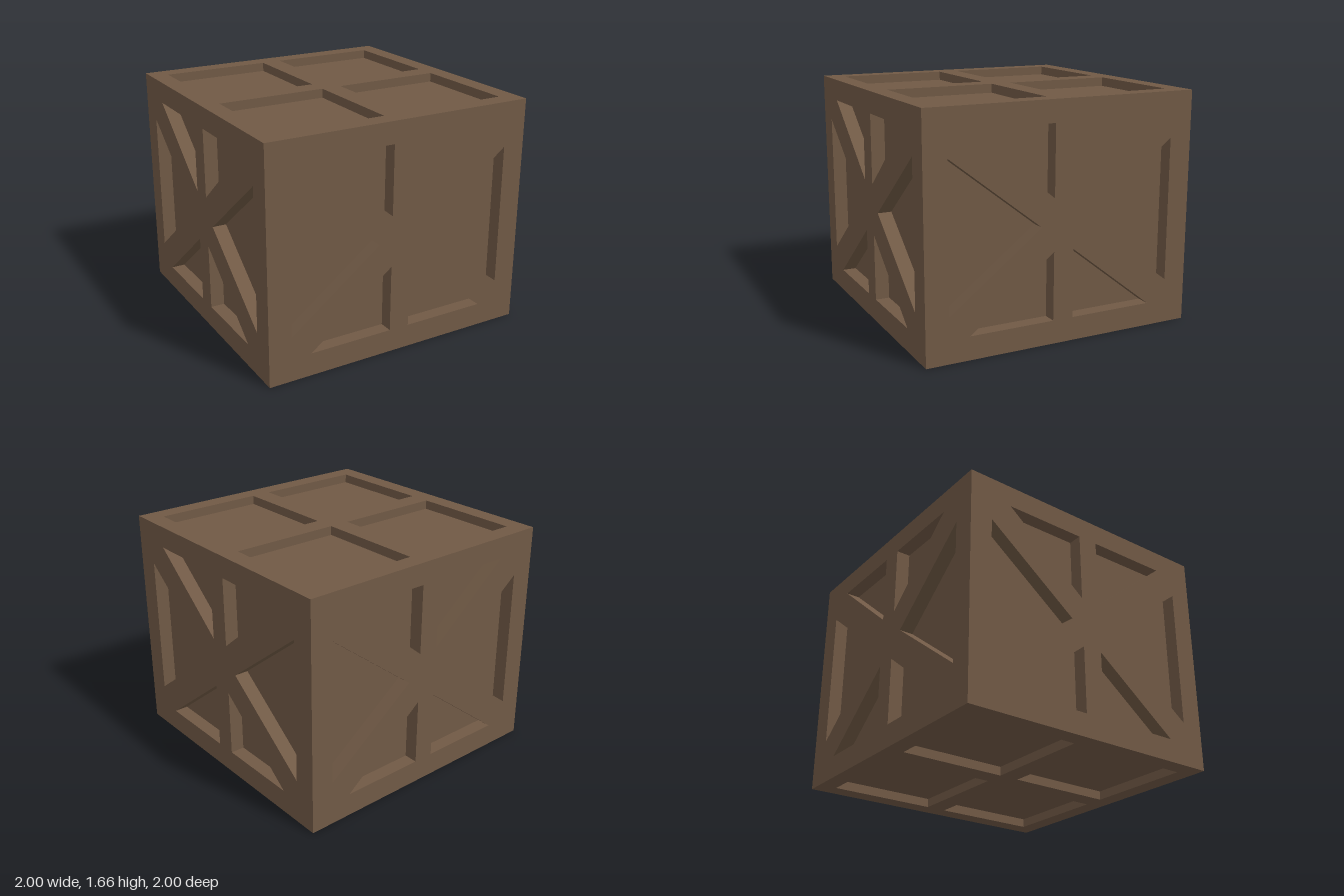
import * as THREE from 'three';

const W = 2, H = 1.66;      // outer size
const SIDE = 0.1;           // depth of the side recesses
const CAP = 0.065;          // depth of the top and bottom recesses

function outline(points, Type = THREE.Shape) {
  return new Type(points.map(([x, y]) => new THREE.Vector2(x, y)));
}

// flat frame of given size with cut-out openings, extruded towards +z
function frameGeometry(width, height, y0, openings, depth) {
  const w = width / 2;
  const shape = outline([[-w, y0], [w, y0], [w, y0 + height], [-w, y0 + height]]);
  for (const o of openings) shape.holes.push(outline(o, THREE.Path));
  return new THREE.ExtrudeGeometry(shape, { depth, bevelEnabled: false });
}

export function createModel() {
  const wood = new THREE.MeshStandardMaterial({ color: 0x705945 });
  wood.name = 'brown wood';
  const crate = new THREE.Group();
  crate.name = 'crate';

  const add = (name, geometry) => {
    const mesh = new THREE.Mesh(geometry, wood);
    mesh.name = name;
    crate.add(mesh);
    return mesh;
  };

  // recessed panels: the faces of one inner box
  add('innerPanels', new THREE.BoxGeometry(W - 2 * SIDE, H - 2 * CAP, W - 2 * SIDE))
    .position.y = H / 2;

  // six triangular openings between rails, centre post and crossed braces
  const sideOpenings = [];
  for (const s of [1, -1]) {
    sideOpenings.push(
      [[s * 0.835, 1.34], [s * 0.17, 0.825], [s * 0.835, 0.32]],
      [[s * 0.075, 1.01], [s * 0.68, 1.505], [s * 0.075, 1.505]],
      [[s * 0.075, 0.645], [s * 0.69, 0.165], [s * 0.075, 0.165]],
    );
  }

  // four braced sides; left and right fit between front and back
  ['frontFrame', 'leftFrame', 'backFrame', 'rightFrame'].forEach((name, i) => {
    const width = i % 2 ? W - 2 * SIDE : W;
    const geometry = frameGeometry(width, H, 0, sideOpenings, SIDE);
    geometry.translate(0, 0, W / 2 - SIDE).rotateY(i * Math.PI / 2);
    add(name, geometry);
  });

  // top and bottom frames, each with four square openings
  const a = 0.075, b = 0.87;
  const capOpenings = [];
  for (const s of [1, -1]) for (const t of [1, -1]) {
    capOpenings.push([[s * a, t * a], [s * b, t * a], [s * b, t * b], [s * a, t * b]]);
  }
  const inner = W - 2 * SIDE;
  for (const [name, y] of [['topFrame', H - CAP], ['bottomFrame', 0]]) {
    const geometry = frameGeometry(inner, inner, -inner / 2, capOpenings, CAP);
    geometry.rotateX(-Math.PI / 2).translate(0, y, 0);
    add(name, geometry);
  }
  return crate;
}
